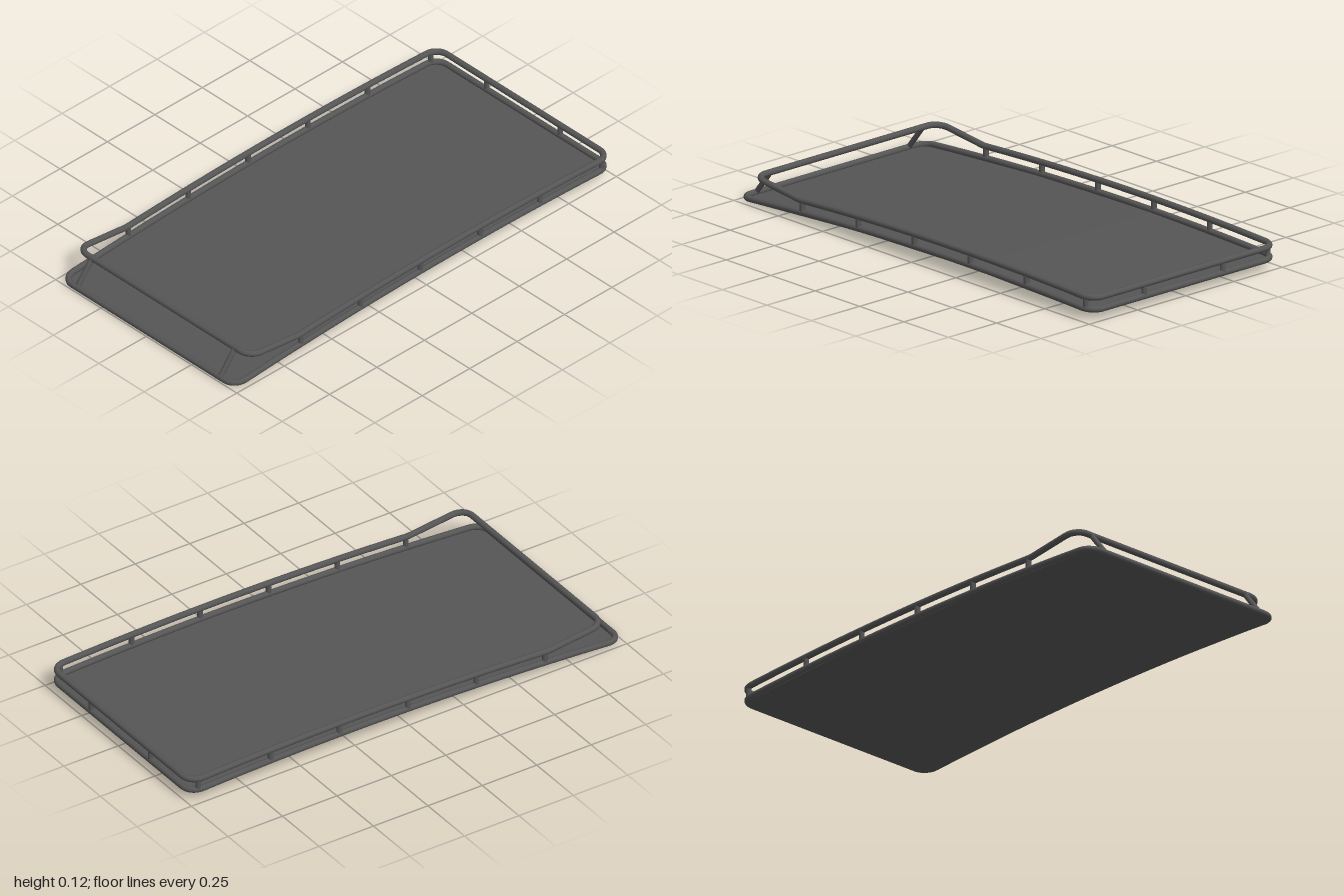
import * as THREE from 'three';

const HALF_W = 0.4755, BACK = -0.9875, FRONT = 0.9875, UPPER_FRONT = 0.908;
const TUBE = 0.0125, CORNER = 0.055, GAP = 0.048, KINK = 0.65;

// Gentle arch of the rack along its length
const lowerY = z => 0.06 - 0.031 * (z + 0.25) ** 2;
// The upper rail follows the arch, then rises straight towards the front
const upperY = z => z < KINK
  ? lowerY(z) + GAP
  : THREE.MathUtils.lerp(lowerY(KINK) + GAP, 0.1125, (z - KINK) / (UPPER_FRONT - KINK));

// Closed outline in x and z; each end has its own corner radius
function outline(halfW, z0, z1, r0, r1) {
  const pts = [];
  const corners = [[1, z1, r1, 0], [-1, z1, r1, 1], [-1, z0, r0, 2], [1, z0, r0, 3]];
  for (const [sx, z, r, quarter] of corners) {
    const sz = quarter < 2 ? 1 : -1;
    const n = r > 0 ? 8 : 0;
    for (let i = 0; i <= n; i++) {
      const a = (quarter + (n ? i / n : 0)) * Math.PI / 2;
      pts.push(new THREE.Vector2(sx * (halfW - r) + r * Math.cos(a), z - sz * r + r * Math.sin(a)));
    }
  }
  return pts;
}

// Closed tube around the outline, with its height set by z
function railGeometry(zFront, heightAt) {
  const corners = outline(HALF_W, BACK, zFront, CORNER, CORNER);
  const pts = [];
  corners.forEach((p, i) => {
    const q = corners[(i + 1) % corners.length];
    const steps = Math.max(1, Math.round(p.distanceTo(q) / 0.04));
    for (let s = 0; s < steps; s++) {
      const v = p.clone().lerp(q, s / steps);
      pts.push(new THREE.Vector3(v.x, heightAt(v.y), v.y));
    }
  });
  const curve = new THREE.CatmullRomCurve3(pts, true);
  curve.arcLengthDivisions = 1500;
  return new THREE.TubeGeometry(curve, 480, TUBE, 12, true);
}

// Flat slab between two stations, tilted to the chord of the arch
function panelGeometry(z0, z1, r0, r1) {
  const shape = new THREE.Shape(outline(HALF_W, z0, z1, r0, r1));
  const geo = new THREE.ExtrudeGeometry(shape, { depth: 0.005, bevelEnabled: false });
  geo.rotateX(Math.PI / 2);
  const pos = geo.attributes.position;
  for (let i = 0; i < pos.count; i++) {
    const t = (pos.getZ(i) - z0) / (z1 - z0);
    pos.setY(i, pos.getY(i) - 0.007 + THREE.MathUtils.lerp(lowerY(z0), lowerY(z1), t));
  }
  geo.computeVertexNormals();
  return geo;
}

export function createModel() {
  const group = new THREE.Group();
  const material = new THREE.MeshStandardMaterial({ color: 0x555555 });
  const add = (name, geo) => {
    const mesh = new THREE.Mesh(geo, material);
    mesh.name = name;
    group.add(mesh);
    return mesh;
  };
  // Round bar between two points
  const bar = (name, a, b, r) => {
    const mesh = add(name, new THREE.CylinderGeometry(r, r, a.distanceTo(b), 12));
    mesh.position.copy(a).lerp(b, 0.5);
    mesh.quaternion.setFromUnitVectors(new THREE.Vector3(0, 1, 0), b.clone().sub(a).normalize());
  };
  const post = (name, x, z) => bar(name,
    new THREE.Vector3(x, lowerY(z), z), new THREE.Vector3(x, upperY(z), z), 0.011);

  // Rails
  add('lowerRail', railGeometry(FRONT, lowerY));
  add('upperRail', railGeometry(UPPER_FRONT, upperY));

  // Floor in three panels
  add('rearPanel', panelGeometry(BACK, -0.3, CORNER, 0));
  add('middlePanel', panelGeometry(-0.3, 0.34, 0, 0));
  add('frontPanel', panelGeometry(0.34, FRONT, 0, CORNER));

  // Posts and front struts, mirrored
  for (const side of [1, -1]) {
    for (const z of [0.64, 0.325, 0.01, -0.305, -0.62, -0.95])
      post('sidePost', side * (z < -0.94 ? HALF_W - 0.004 : HALF_W), z);
    post('backPost', side * 0.203, BACK);
    bar('frontStrut',
      new THREE.Vector3(side * 0.395, lowerY(FRONT), FRONT),
      new THREE.Vector3(side * 0.395, upperY(UPPER_FRONT), UPPER_FRONT), 0.0105);
  }
  return group;
}
